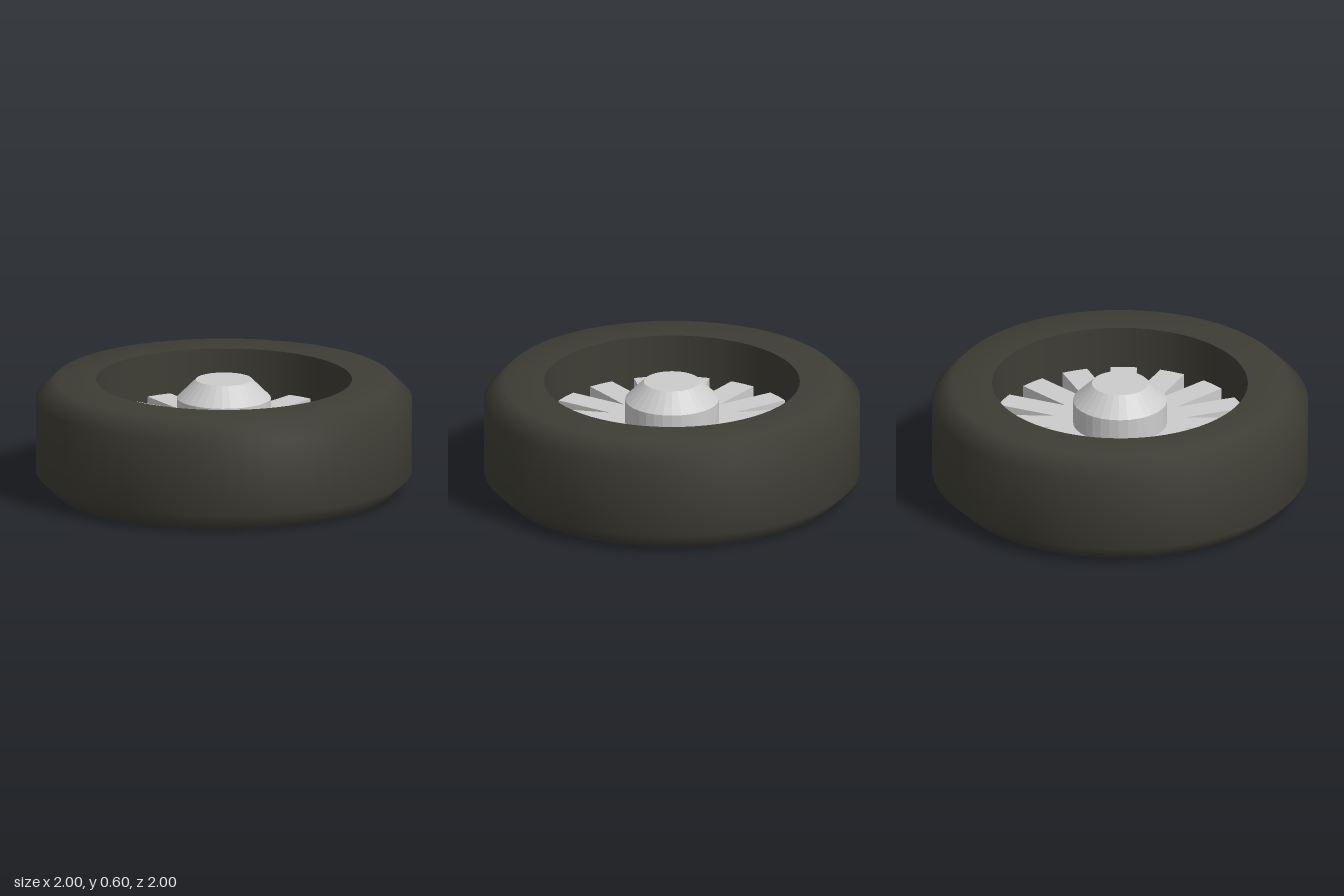
import * as THREE from 'three';

const tireRubber = new THREE.MeshStandardMaterial({ color: 0x3e3d35 });
const rimMetal = new THREE.MeshStandardMaterial({ color: 0xcccccc });

const HEIGHT = 0.6, INNER_RADIUS = 0.68;

function lathe(profile, segments) {
  return new THREE.LatheGeometry(profile.map(([r, y]) => new THREE.Vector2(r, y)), segments);
}

function faceted(geometry) {
  const flat = geometry.toNonIndexed();
  flat.computeVertexNormals();
  return flat;
}

export function createModel() {
  const wheel = new THREE.Group();
  wheel.name = 'wheel';

  function add(name, geometry, material, parent = wheel) {
    const mesh = new THREE.Mesh(geometry, material);
    mesh.name = name;
    parent.add(mesh);
    return mesh;
  }

  // Tire: smooth bevelled outside, with a sharp edge to the inner wall
  add('tire', lathe([
    [INNER_RADIUS, 0], [0.9, 0], [1, 0.1], [1, 0.5], [0.9, HEIGHT], [INNER_RADIUS, HEIGHT],
  ], 64), tireRubber);
  add('tireInnerWall', lathe([[INNER_RADIUS, HEIGHT], [INNER_RADIUS, 0]], 64), tireRubber);

  // Hub: faceted cylinder with bevelled ends
  add('hub', faceted(lathe([
    [0, 0], [0.15, 0], [0.25, 0.1], [0.25, 0.5], [0.15, HEIGHT], [0, HEIGHT],
  ], 32)), rimMetal);

  // Spokes: eight square bars through the hub make sixteen spokes
  const spokes = new THREE.Group();
  spokes.name = 'spokes';
  wheel.add(spokes);
  const bar = new THREE.BoxGeometry(INNER_RADIUS * 2, 0.14, 0.14);
  for (let i = 0; i < 8; i++) {
    const spoke = add('spokePair', bar, rimMetal, spokes);
    spoke.position.y = HEIGHT / 2;
    spoke.rotation.y = (i * Math.PI) / 8;
  }

  return wheel;
}
